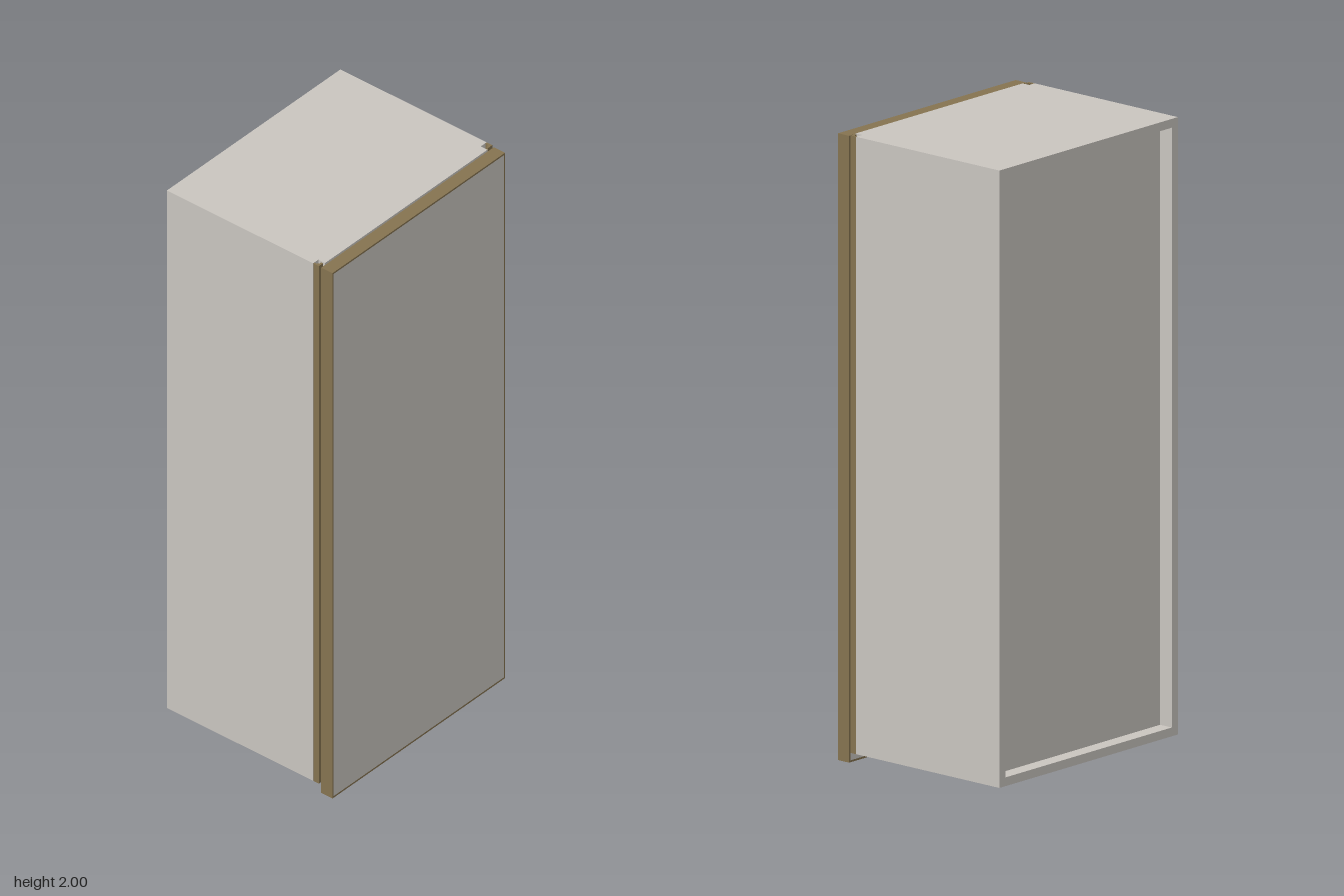
import * as THREE from 'three';

export function createModel() {
  const cabinet = new THREE.Group();
  cabinet.name = 'cabinet';
  const board = new THREE.MeshStandardMaterial({ name: 'warm grey board', color: 0xc9c5bf });
  const bronze = new THREE.MeshStandardMaterial({ name: 'bronze edging', color: 0x857350 });

  const W = 0.413, T = 0.028, BACK = -0.333, SIDE_FRONT = 0.255, FRONT = 0.282;
  const Y0 = 0.033, Y1 = 2;

  const add = (name, geometry, material) => {
    const mesh = new THREE.Mesh(geometry, material);
    mesh.name = name;
    cabinet.add(mesh);
  };
  // box given by its min and max on each axis
  const box = (name, material, x0, x1, y0, y1, z0, z1) => add(name,
    new THREE.BoxGeometry(x1 - x0, y1 - y0, z1 - z0)
      .translate((x0 + x1) / 2, (y0 + y1) / 2, (z0 + z1) / 2), material);
  // plan outline in (x, z), extruded downward from the given top height
  const slab = (name, material, points, top, height) => {
    const shape = new THREE.Shape(points.map(([x, z]) => new THREE.Vector2(x, z)));
    add(name, new THREE.ExtrudeGeometry(shape, { depth: height, bevelEnabled: false })
      .rotateX(Math.PI / 2).translate(0, top, 0), material);
  };

  // top and bottom boards, notched at the front corner for the handle profile
  const plan = [[-W, BACK], [W - T, BACK], [W - T, FRONT], [-0.388, FRONT],
    [-0.388, SIDE_FRONT], [-W, SIDE_FRONT]];
  slab('topPanel', board, plan, Y1, T);
  slab('bottomPanel', board, plan, Y0 + T, T);

  // side boards: the left one runs full height, the right one sits between
  box('leftSide', board, W - T, W, Y0, Y1, BACK, SIDE_FRONT);
  box('rightSide', board, -W, -W + T, Y0 + T, Y1 - T, BACK, SIDE_FRONT);

  // recessed back panel
  box('backPanel', board, -W + T, W - T, Y0 + T, Y1 - T, -0.285, -0.27);

  // L-shaped handle profiles standing in the front corner notches
  for (const s of [-1, 1]) {
    const outline = [[W, 0.256], [0.407, 0.256], [0.407, 0.266], [0.402, 0.266],
      [0.402, 0.271], [0.393, 0.271], [0.393, 0.278], [W, 0.278]];
    slab(s > 0 ? 'leftProfile' : 'rightProfile', bronze,
      outline.map(([x, z]) => [s * x, z]), Y1, Y1 - Y0);
  }

  // door leaf with edging all round
  const DX = 0.411, DY = 1.997, E = 0.006, Z0 = 0.286, Z1 = 0.331;
  box('door', board, -DX + E, DX - E, E, DY - E, Z0, Z1);
  box('doorEdgeTop', bronze, -DX, DX, DY - E, DY, Z0, Z1);
  box('doorEdgeBottom', bronze, -DX, DX, 0, E, Z0, Z1);
  box('doorEdgeLeft', bronze, DX - E, DX, E, DY - E, Z0, Z1);
  box('doorEdgeRight', bronze, -DX, -DX + E, E, DY - E, Z0, Z1);

  return cabinet;
}
